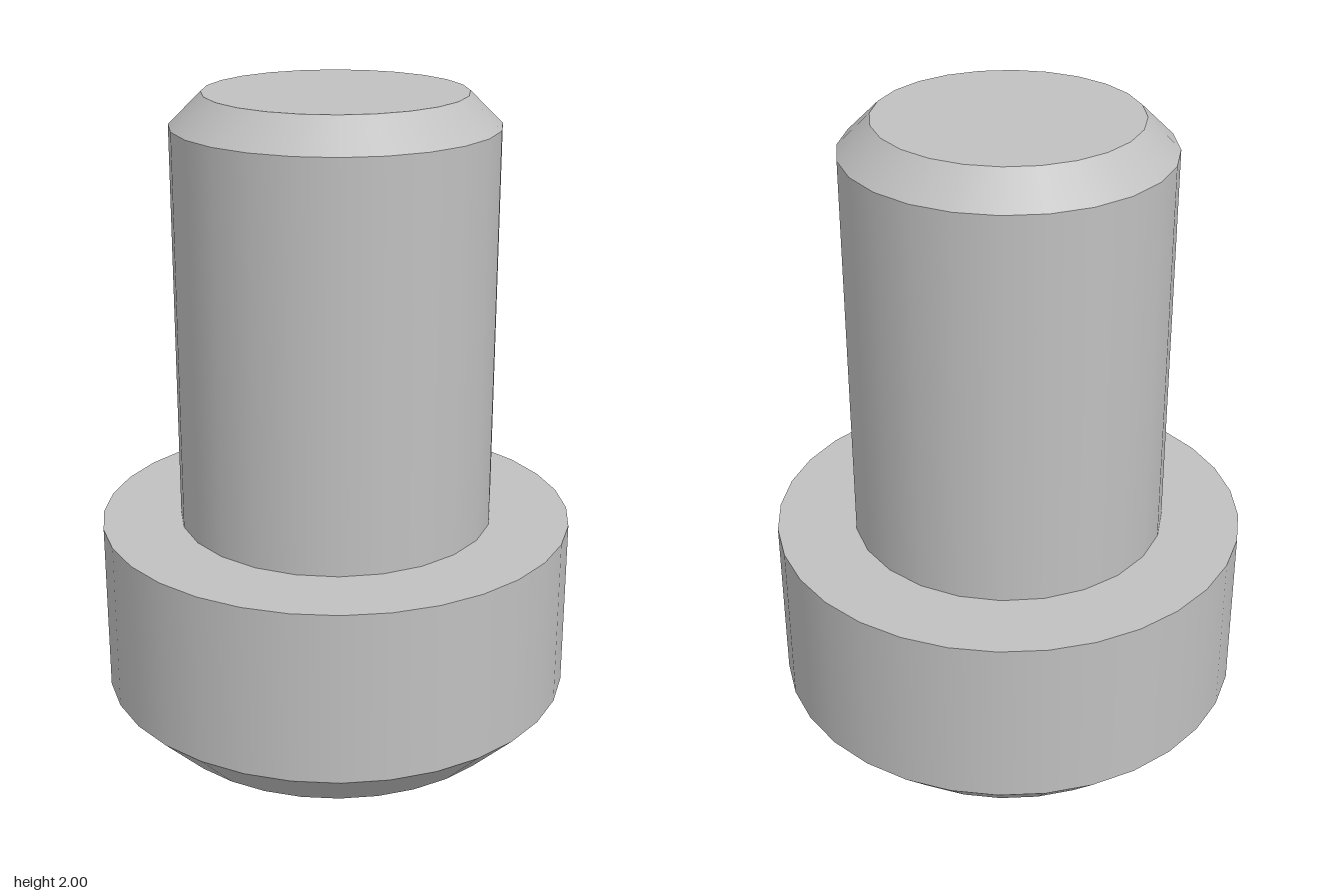
import * as THREE from 'three';
import { mergeGeometries } from 'three/addons/utils/BufferGeometryUtils.js';

// Open conical band between two heights, smooth around, crisp at its rims
function band(y0, r0, y1, r1, sides) {
  return new THREE.CylinderGeometry(r1, r0, y1 - y0, sides, 1, true).translate(0, (y0 + y1) / 2, 0);
}

// Flat disc facing up or down
function disc(y, r, sides, up) {
  return new THREE.CircleGeometry(r, sides).rotateX(up ? -Math.PI / 2 : Math.PI / 2).translate(0, y, 0);
}

export function createModel() {
  const steel = new THREE.MeshStandardMaterial({ color: 0xc0c0c0 });
  steel.name = 'steel grey';
  const model = new THREE.Group();
  model.name = 'flangedPin';

  const add = (name, parts) => {
    const mesh = new THREE.Mesh(mergeGeometries(parts), steel);
    mesh.name = name;
    model.add(mesh);
  };

  // Wide head with a chamfered underside
  add('head', [
    disc(0, 0.584, 32, false),
    band(0, 0.584, 0.147, 0.73, 32),
    band(0.147, 0.73, 0.683, 0.73, 32),
    disc(0.683, 0.73, 32, true),
  ]);

  // Narrower shaft with a chamfered tip
  add('shaft', [
    band(0.683, 0.487, 1.905, 0.487, 24),
    band(1.905, 0.487, 2, 0.39, 24),
    disc(2, 0.39, 24, true),
  ]);

  return model;
}
